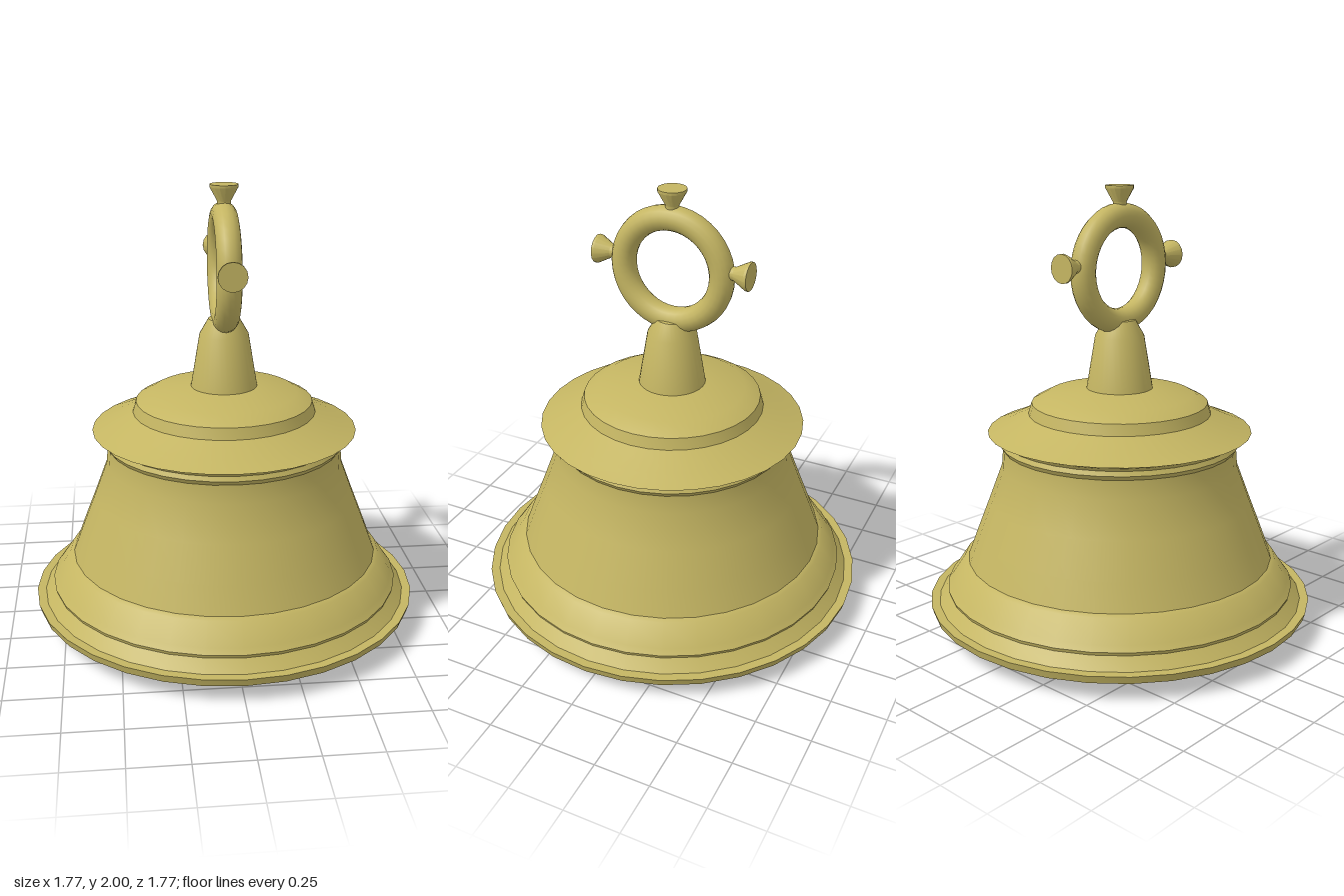
import * as THREE from 'three';
import { toCreasedNormals } from 'three/addons/utils/BufferGeometryUtils.js';

const brass = new THREE.MeshStandardMaterial({ color: 0xc4b562 });

function add(parent, name, geometry, crease = 0.6) {
  const mesh = new THREE.Mesh(toCreasedNormals(geometry, crease), brass);
  mesh.name = name;
  parent.add(mesh);
  return mesh;
}

const profile = (pairs) => pairs.map(([r, y]) => new THREE.Vector2(r, y));

export function createModel() {
  const bell = new THREE.Group();
  bell.name = 'bell';

  // Hollow body: inside ceiling, down the inner wall, round the lip, up the outside
  add(bell, 'body', new THREE.LatheGeometry(profile([
    [0, 0.88], [0.44, 0.87], [0.5, 0.82], [0.515, 0.74], [0.68, 0.31], [0.76, 0.2], [0.83, 0.115], [0.855, 0.085],
    [0.875, 0.085], [0.885, 0.12], [0.845, 0.12], [0.8, 0.17], [0.805, 0.185], [0.785, 0.21],
    [0.725, 0.3], [0.705, 0.31], [0.66, 0.43], [0.6, 0.585], [0.54, 0.745], [0.533, 0.83],
    [0.545, 0.85], [0.535, 0.87], [0.545, 0.885], [0.6, 0.905], [0.525, 0.935],
    [0.415, 0.985], [0.4, 1.035], [0.33, 1.073], [0.15, 1.1],
    [0.11, 1.34], [0.07, 1.41], [0, 1.42],
  ]), 32));

  // Hanging ring, standing in the y-z plane
  const ring = new THREE.Group();
  ring.name = 'hangingRing';
  ring.position.y = 1.638;
  bell.add(ring);
  add(ring, 'ringLoop', new THREE.TorusGeometry(0.232, 0.055, 16, 40).rotateY(Math.PI / 2), 1);

  // Flared studs on the top, front and back of the ring
  [['topStud', 0, 0], ['frontStud', Math.PI / 2, 0.033], ['backStud', -Math.PI / 2, 0.033]].forEach(([name, angle, lift]) => {
    const stud = new THREE.LatheGeometry(profile([[0, 0.265], [0.03, 0.265], [0.03, 0.29], [0.063, 0.35], [0.063, 0.362], [0, 0.362]]), 16);
    add(ring, name, stud.rotateX(angle).translate(0, lift, 0));
  });

  // Clapper: tapered rod with a faceted striker that has a ridge below
  const clapper = new THREE.Group();
  clapper.name = 'clapper';
  bell.add(clapper);
  add(clapper, 'clapperRod', new THREE.CylinderGeometry(0.06, 0.075, 0.82, 8).translate(0, 0.48, 0));
  const section = new THREE.Shape(profile([[0, 0], [0.095, 0.045], [0.045, 0.1], [-0.045, 0.1], [-0.1, 0.045]]));
  const striker = new THREE.ExtrudeGeometry(section, { depth: 0.18, bevelEnabled: false }).translate(0, 0, -0.08);
  const p = striker.attributes.position;
  for (let i = 0; i < p.count; i++) {
    if (p.getY(i) > 0.08) p.setZ(i, p.getZ(i) * 0.8);
  }
  add(clapper, 'striker', striker, 0.3);

  return bell;
}
